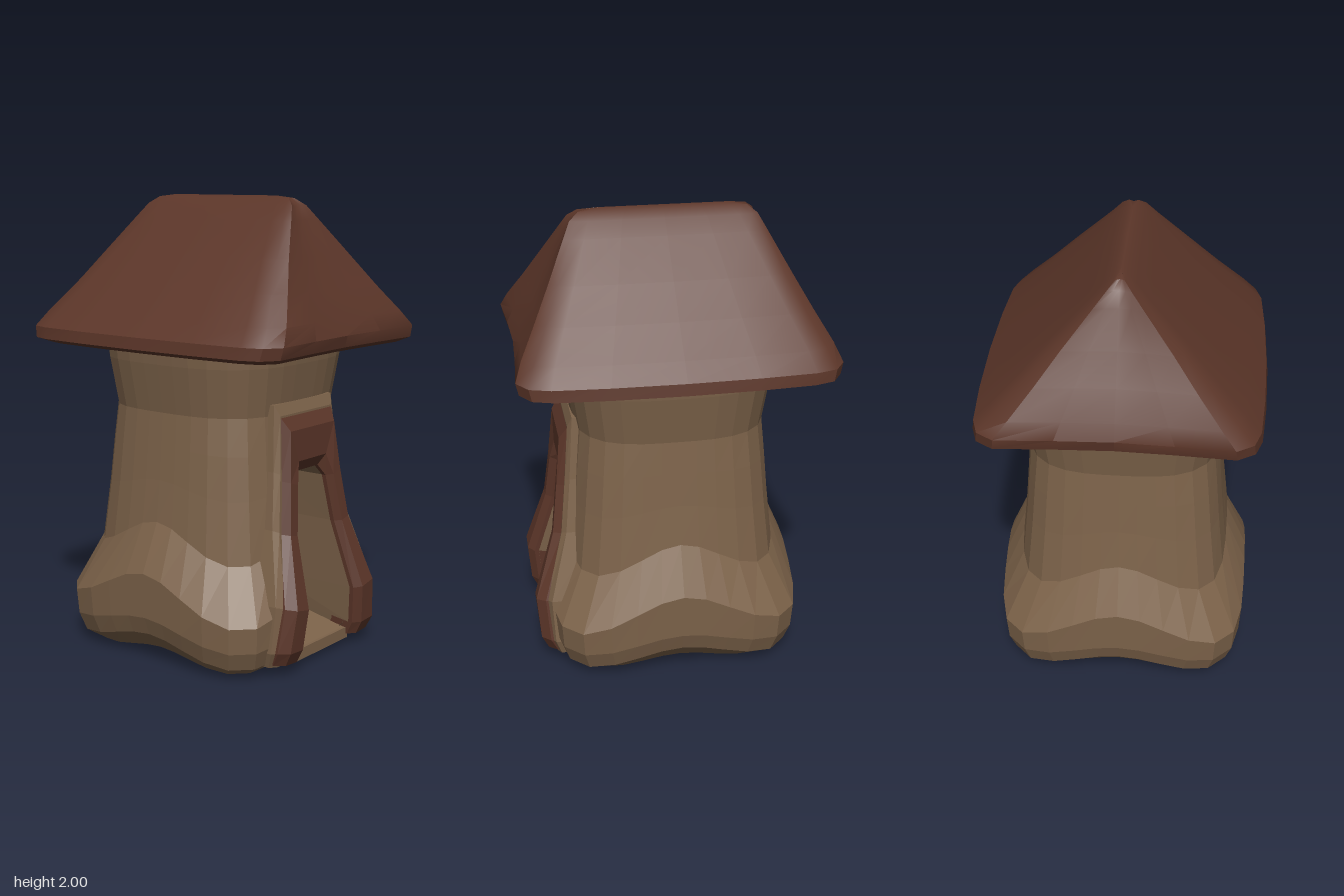
import * as THREE from 'three';
import { toCreasedNormals } from 'three/addons/utils/BufferGeometryUtils.js';

const plaster = new THREE.MeshStandardMaterial({ color: 0x7d634a, flatShading: true });
const plasterInside = new THREE.MeshStandardMaterial({ color: 0x7d634a, flatShading: true, side: THREE.DoubleSide });
const wood = new THREE.MeshStandardMaterial({ color: 0x5c3629, flatShading: true });
const roofing = new THREE.MeshStandardMaterial({ color: 0x5c3629 });

// Joins closed rings of points into a skin, with optional fan caps and skipped quads.
function loft(rings, { capStart = true, capEnd = true, skip = () => false } = {}) {
  const n = rings[0].length;
  const pos = rings.flat(2);
  const index = [];
  for (let i = 0; i < rings.length - 1; i++) {
    for (let j = 0; j < n; j++) {
      if (skip(i, j)) continue;
      const k = (j + 1) % n;
      const a = i * n + j, b = i * n + k, c = a + n, d = b + n;
      index.push(a, b, d, a, d, c);
    }
  }
  const cap = (i, flip) => {
    const mid = [0, 1, 2].map(c => rings[i].reduce((s, p) => s + p[c], 0) / n);
    const m = pos.length / 3;
    pos.push(...mid);
    for (let j = 0; j < n; j++) {
      const a = i * n + j, b = i * n + (j + 1) % n;
      index.push(m, flip ? b : a, flip ? a : b);
    }
  };
  if (capStart) cap(0, true);
  if (capEnd) cap(rings.length - 1, false);
  const geo = new THREE.BufferGeometry();
  geo.setAttribute('position', new THREE.Float32BufferAttribute(pos, 3));
  geo.setIndex(index);
  geo.computeVertexNormals();
  return geo;
}

// Tower wall: rounded squares whose rows rise in the middle of each side.
// Each row: corner height, rise at mid-side, half width, squareness.
function towerGeometry() {
  const rows = [
    [0.0, 0.05, 0.45, 5], [0.05, 0.08, 0.525, 5], [0.13, 0.08, 0.552, 5],
    [0.24, 0.17, 0.56, 5], [0.47, 0.15, 0.467, 4], [0.74, 0.06, 0.445, 3.6],
    [0.93, 0.02, 0.432, 3.4], [1.09, 0, 0.42, 3.2], [1.3, 0, 0.453, 3.2], [1.38, 0, 0.46, 3.2],
  ];
  const sides = 36;
  const rings = rows.map(([y, rise, w, e]) => Array.from({ length: sides }, (_, j) => {
    const t = j / sides * Math.PI * 2, s = Math.sin(t), c = Math.cos(t);
    const r = w / Math.pow(Math.abs(s) ** e + Math.abs(c) ** e, 1 / e);
    return [s * r, y + rise * Math.cos(2 * t) ** 2, c * r];
  }));
  // the doorway is left open at the front
  return loft(rings, { skip: (i, j) => i < 6 && (j < 2 || j >= sides - 2) });
}

// Roof: one quarter of the eave outline, mirrored and scaled row by row up to the ridge.
function roofGeometry() {
  const quarter = [[0, 0.965], [0.4, 0.978], [0.8, 1], [0.92, 0.93], [0.965, 0.8], [0.99, 0.45], [1, 0]];
  const half = [...quarter, ...quarter.slice(0, -1).reverse().map(([x, z]) => [x, -z])];
  const outline = [...half, ...half.slice(1, -1).reverse().map(([x, z]) => [-x, z])];
  const rows = [
    [1.365, 0.4, 0.42], [1.358, 0.55, 0.62], [1.38, 0.607, 0.665], [1.43, 0.6, 0.677],
    [1.5, 0.53, 0.648], [1.62, 0.405, 0.58], [1.75, 0.278, 0.51], [1.9, 0.125, 0.432],
    [1.96, 0.064, 0.4], [1.99, 0.025, 0.36], [2.0, 0.002, 0.28],
  ];
  return toCreasedNormals(loft(rows.map(([y, hx, hz]) => outline.map(([x, z]) => [x * hx, y, z * hz]))), 0.6);
}

// Mirrors the stations of one door leg to make the whole arch.
// Each station: inner x, inner y, outer x, outer y, front z.
const arch = leg => [...leg, ...leg.slice().reverse().map(([xi, yi, xo, yo, z]) => [-xi, yi, -xo, yo, z])];

// Sweeps a chamfered bar along an arch.
function archGeometry(stations, depth, chamfer) {
  return loft(stations.map(([xi, yi, xo, yo, z]) => {
    const at = (t, dz) => [xi + (xo - xi) * t, yi + (yo - yi) * t, z - dz];
    return [at(0, chamfer), at(0.2, 0), at(0.75, 0), at(1, chamfer * 1.3), at(1, depth), at(0, depth)];
  }));
}

export function createModel() {
  const model = new THREE.Group();
  const add = (name, geometry, material) => {
    const mesh = new THREE.Mesh(geometry, material);
    mesh.name = name;
    model.add(mesh);
    return mesh;
  };

  add('towerWall', towerGeometry(), plaster);
  add('roof', roofGeometry(), roofing);

  // Wooden door frame
  const frame = arch([
    [0.2, 0.05, 0.345, 0.06, 0.575], [0.195, 0.11, 0.355, 0.12, 0.605],
    [0.178, 0.28, 0.325, 0.31, 0.62], [0.15, 0.58, 0.24, 0.6, 0.53],
    [0.115, 0.79, 0.208, 0.82, 0.505], [0.08, 0.84, 0.188, 1.09, 0.485],
  ]);
  add('doorFrame', archGeometry(frame, 0.14, 0.03), wood);

  // Plaster band around the frame
  const surround = arch([
    [0.22, 0.04, 0.355, 0.05, 0.54], [0.22, 0.11, 0.372, 0.12, 0.565],
    [0.2, 0.28, 0.355, 0.32, 0.575], [0.18, 0.58, 0.275, 0.62, 0.495],
    [0.15, 0.82, 0.235, 0.86, 0.47], [0.12, 0.95, 0.21, 1.14, 0.45],
  ]);
  add('doorSurround', archGeometry(surround, 0.16, 0.015), plaster);

  // Recess behind the frame, with a floor that rises toward the back wall
  const front = frame.map(([x, y, , , z]) => [x, Math.max(y, 0.08), z - 0.05]);
  const back = frame.map(([x, y]) => [x * 0.97, Math.max(y, 0.17), 0.1]);
  add('doorRecess', loft([front, back], { capStart: false }), plasterInside);

  // Door sill
  const sill = add('doorSill', new THREE.BoxGeometry(0.42, 0.05, 0.25), plaster);
  sill.position.set(0, 0.055, 0.415);

  return model;
}
